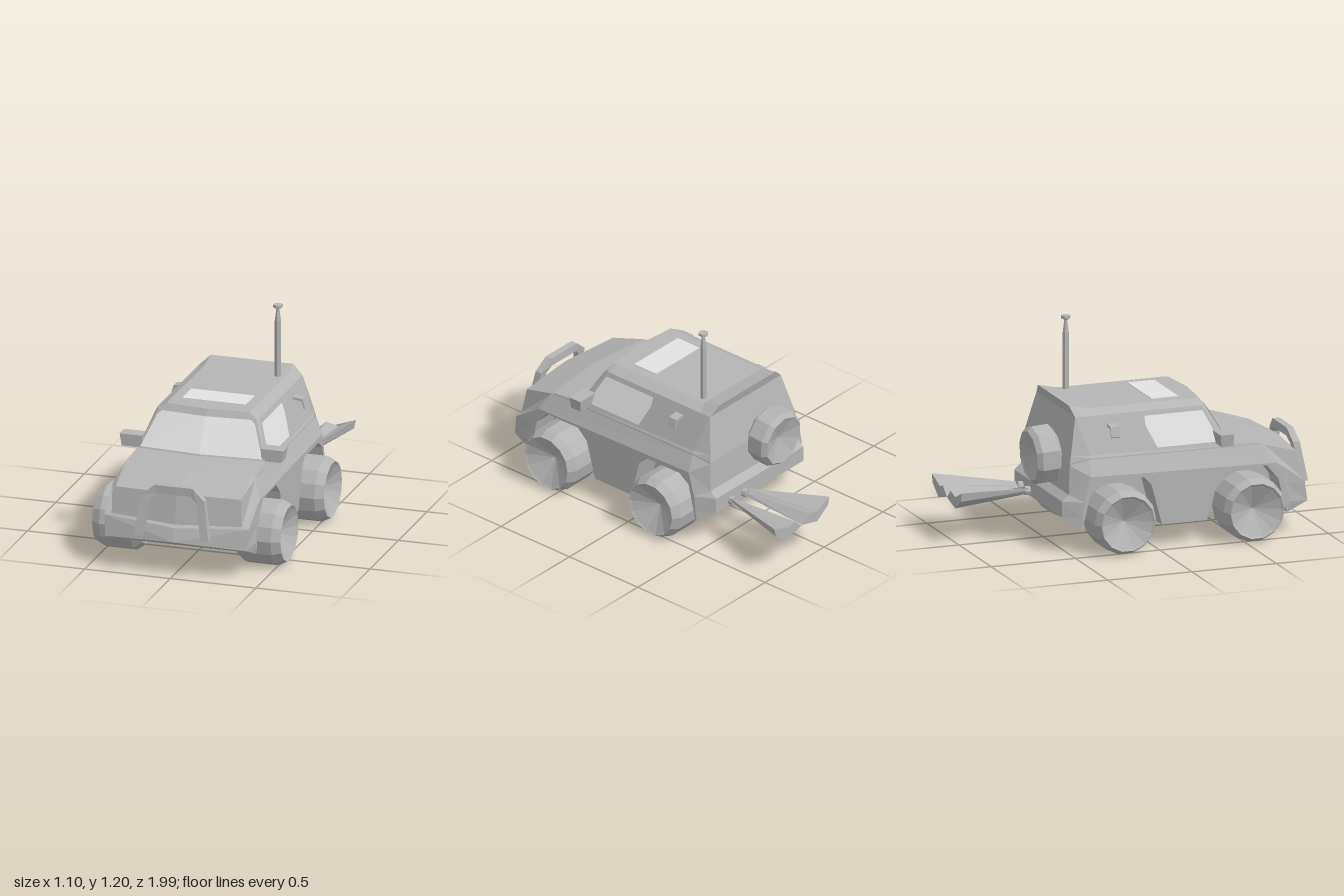
import * as THREE from 'three';

const paint = new THREE.MeshStandardMaterial({ color: 0xb4b4b4, flatShading: true, side: THREE.DoubleSide });
paint.name = 'grey paint';
const glass = new THREE.MeshStandardMaterial({ color: 0xe2e2e2, flatShading: true, side: THREE.DoubleSide });
glass.name = 'pale glass';

// Geometry from a list of polygons, each fanned into triangles
function faces(polys) {
  const pos = [];
  for (const p of polys)
    for (let i = 1; i < p.length - 1; i++) pos.push(...p[0], ...p[i], ...p[i + 1]);
  const g = new THREE.BufferGeometry();
  g.setAttribute('position', new THREE.Float32BufferAttribute(pos, 3));
  g.computeVertexNormals();
  return g;
}
const flip = ([x, y, z]) => [-x, y, z];
const mirrored = (polys) => polys.concat(polys.map((p) => p.map(flip).reverse()));

// Skin between equal closed rings, with both ends capped
function loft(rings) {
  const polys = [rings[0].slice().reverse(), rings[rings.length - 1]];
  for (let i = 0; i < rings.length - 1; i++)
    rings[i].forEach((a, j) => {
      const k = (j + 1) % rings[i].length;
      polys.push([a, rings[i][k], rings[i + 1][k], rings[i + 1][j]]);
    });
  return faces(polys);
}

// Flat outline of [z, y] points mapped to 3D by a rule
function panel(outline, rule) {
  const v = outline.map(([a, b]) => new THREE.Vector2(a, b));
  return THREE.ShapeUtils.triangulateShape(v, []).map((t) => t.map((i) => rule(v[i].x, v[i].y)).reverse());
}

// Half ring of the body: [y, z] of the front middle, then front corner,
// side front, side rear and rear corner; the rear runs straight across
const halfRing = ([y, z], ...rest) => {
  const corner = rest[rest.length - 1];
  return [[0, y, z], ...rest, [0, corner[1], corner[2]]];
};

export function createModel() {
  const model = new THREE.Group();
  const add = (name, geo, mat = paint) => {
    const m = new THREE.Mesh(geo, mat);
    m.name = name;
    model.add(m);
    return m;
  };

  // Sill, bumper, bumper ledge and belt line
  const lower = [
    halfRing([.13, .79], [.42, .13, .79], [.43, .13, .785], [.43, .15, -.44], [.40, .15, -.44]),
    halfRing([.205, .965], [.41, .18, .91], [.43, .19, .80], [.43, .21, -.43], [.37, .21, -.53]),
    halfRing([.28, .94], [.42, .30, .89], [.43, .30, .77], [.43, .30, -.42], [.37, .30, -.53]),
    halfRing([.295, .92], [.38, .31, .885], [.43, .42, .72], [.43, .44, -.38], [.37, .335, -.49]),
  ];
  // Screen base and screen top
  const screenBase = halfRing([.555, .495], [.37, .55, .455], [.375, .55, .42], [.375, .55, -.365], [.35, .55, -.47]);
  const screenTop = halfRing([.755, .37], [.285, .755, .345], [.30, .755, .32], [.30, .755, -.36], [.30, .755, -.425]);
  // Roof, with its rear edge raised into a spoiler
  const roof = halfRing([.785, .352], [.24, .785, .33], [.245, .785, .30], [.24, .785, -.33], [.24, .81, -.44]);
  const rings = [
    ...lower,
    halfRing([.465, .89], [.365, .46, .86], [.385, .52, .66], [.385, .53, -.37], [.36, .50, -.48]),
    halfRing([.535, .68], [.36, .525, .66], [.383, .53, .63], [.385, .535, -.37], [.36, .51, -.479]),
    screenBase, screenTop, roof,
  ];
  const skin = [];
  for (let i = 0; i < rings.length - 1; i++)
    for (let j = 0; j < 5; j++) {
      if (i < 3 && j === 2) continue; // lower sides are panels with wheel arches
      const [a, b, c, d] = [rings[i][j], rings[i][j + 1], rings[i + 1][j + 1], rings[i + 1][j]];
      skin.push([a, b, c], [a, c, d]);
    }
  const middle = ([, y, z]) => [0, y, z];
  for (let j = 0; j < 5; j++) skin.push([middle(roof[j]), roof[j], roof[j + 1], middle(roof[j + 1])]);
  add('bodyShell', faces(mirrored(skin)));

  // Side panels with angular wheel arches
  const frontArch = [[.78, .13], [.73, .33], [.66, .41], [.43, .41], [.365, .35], [.305, .13]];
  const rearArch = [[.04, .13], [-.02, .36], [-.065, .41], [-.315, .41], [-.38, .36], [-.43, .15]];
  const zy = (j) => lower.map((r) => [r[j][2], r[j][1]]);
  const side = [...zy(2).reverse(), ...frontArch, ...rearArch, ...zy(3)];
  add('sidePanels', faces(mirrored(panel(side, (z, y) => [.43, y, z]))));

  // Wheel wells: arch lining and inner wall
  const inner = .27, wells = [];
  for (const arch of [frontArch, rearArch]) {
    for (let i = 0; i < arch.length - 1; i++) {
      const [[z0, y0], [z1, y1]] = [arch[i], arch[i + 1]];
      wells.push([[.43, y0, z0], [inner, y0, z0], [inner, y1, z1], [.43, y1, z1]]);
    }
    wells.push(arch.map(([z, y]) => [inner, y, z]));
  }
  add('wheelWells', faces(mirrored(wells)));

  // Floor, narrow between the wheels
  const strip = (x, z0, z1, y0 = .13, y1 = .13) => [[-x, y0, z0], [-x, y1, z1], [x, y1, z1], [x, y0, z0]];
  add('floor', faces([strip(.43, .79, .78), strip(inner, .78, .305), strip(.43, .305, .04),
    strip(inner, .04, -.43, .13, .15), strip(.43, -.43, -.44, .15, .15)]));

  // Windscreen in two slightly angled halves
  const lerp = (a, b, t) => a.map((v, i) => v + (b[i] - v) * t);
  const onScreen = (u, v) => {
    const [x, y, z] = lerp(lerp(screenBase[0], screenBase[1], u), lerp(screenTop[0], screenTop[1], u), v);
    return [x, y + .003, z + .005];
  };
  add('windscreen', faces(mirrored([[onScreen(0, .04), onScreen(.97, .04), onScreen(.96, .85), onScreen(.9, .96), onScreen(0, .96)]])), glass);

  // Side windows and roof window
  const sideX = (y) => .378 - .075 * (y - .55) / .205;
  const windowOutline = [[.405, .558], [.035, .558], [-.02, .68], [-.02, .73], [.325, .73]];
  add('sideWindows', faces(mirrored([windowOutline.map(([z, y]) => [sideX(y), y, z])])), glass);
  add('roofWindow', new THREE.BoxGeometry(.37, .006, .16), glass).position.set(0, .786, .15);

  // Wheels with dished hubs; the spare is slightly smaller
  const wheelGeo = (r, w, sides) => new THREE.LatheGeometry(
    [[0, -.5], [.8, -.5], [1, -.32], [1, .32], [.86, .5], [.8, .47], [0, .2]].map(([a, b]) => new THREE.Vector2(a * r, b * w)), sides);
  for (const s of [1, -1])
    for (const [end, z] of [['front', .56], ['rear', -.205]]) {
      const wheel = add(`${end}${s > 0 ? 'Left' : 'Right'}Wheel`, wheelGeo(.184, .275, 14));
      wheel.rotation.z = -s * Math.PI / 2;
      wheel.position.set(s * .4125, .184, z);
    }
  const spare = add('spareWheel', wheelGeo(.167, .15, 10));
  spare.rotation.x = -Math.PI / 2 - .06;
  spare.position.set(-.095, .507, -.548);

  // Front guard bar swept along a bent path
  const bar = [[.195, .235, .968], [.16, .45, .932], [.105, .50, .922]];
  const path = [...bar, ...bar.map(flip).reverse()].map((p) => new THREE.Vector3(...p));
  add('guardBar', loft(path.map((p, i) => {
    const t = path[Math.min(i + 1, 5)].clone().sub(path[Math.max(i - 1, 0)]);
    const n = new THREE.Vector3(t.y, -t.x, 0).normalize().multiplyScalar(.024);
    return [[1, .02], [1, -.02], [-1, -.02], [-1, .02]].map(([k, d]) => [p.x + n.x * k, p.y + n.y * k, p.z + d]);
  })));

  for (const s of [1, -1]) {
    const label = s > 0 ? 'left' : 'right';
    // Door mirror, raked outwards
    const mirror = new THREE.BoxGeometry(.13, .07, .08);
    const p = mirror.attributes.position;
    for (let i = 0; i < p.count; i++) {
      if (p.getX(i) * s > 0 && p.getY(i) < 0) p.setX(i, p.getX(i) - s * .012);
      if (p.getY(i) < 0 && p.getZ(i) < 0) p.setZ(i, p.getZ(i) + .01);
    }
    add(`${label}Mirror`, mirror).position.set(s * .413, .585, .41);
    // Small bent fin on the rear pillar
    const fin = [[.315, .695], [.37, .688], [.385, .64], [.392, .645], [.376, .70], [.315, .708]];
    const shape = new THREE.Shape(fin.map(([x, y]) => new THREE.Vector2(s * x, y)));
    add(`${label}Fin`, new THREE.ExtrudeGeometry(shape, { depth: .055, bevelEnabled: false })).position.z = -.245;
  }

  // Aerial with a flared tip
  const aerial = [[0, .77], [.018, .77], [.018, 1.11], [.009, 1.18], [.028, 1.19], [.028, 1.205], [0, 1.205]];
  add('aerial', new THREE.LatheGeometry(aerial.map(([r, y]) => new THREE.Vector2(r, y)), 6)).position.set(.2, 0, -.29);

  // Twin exhaust pipes with spreading plumes
  for (const [name, x, endX, s] of [['inner', .135, .07, -1], ['outer', .245, .305, 1]]) {
    const pipe = new THREE.CylinderGeometry(.026, .026, .09, 8);
    pipe.rotateX(Math.PI / 2);
    add(`${name}Pipe`, pipe).position.set(x, .24, -.515);
    const ring = (cx, cy, z, w, h) => [[-1, -.4], [-.5, .5], [.1, .15], [1, 1], [.9, .1], [.1, -1]]
      .map(([a, b]) => [cx + a * w * s, cy + b * h, z]);
    const ends = [ring(x, .24, -.54, .018, .018), ring(endX, .255, -1, .115, .056)];
    add(`${name}Plume`, loft(s > 0 ? ends : ends.map((r) => r.reverse())));
  }
  return model;
}
